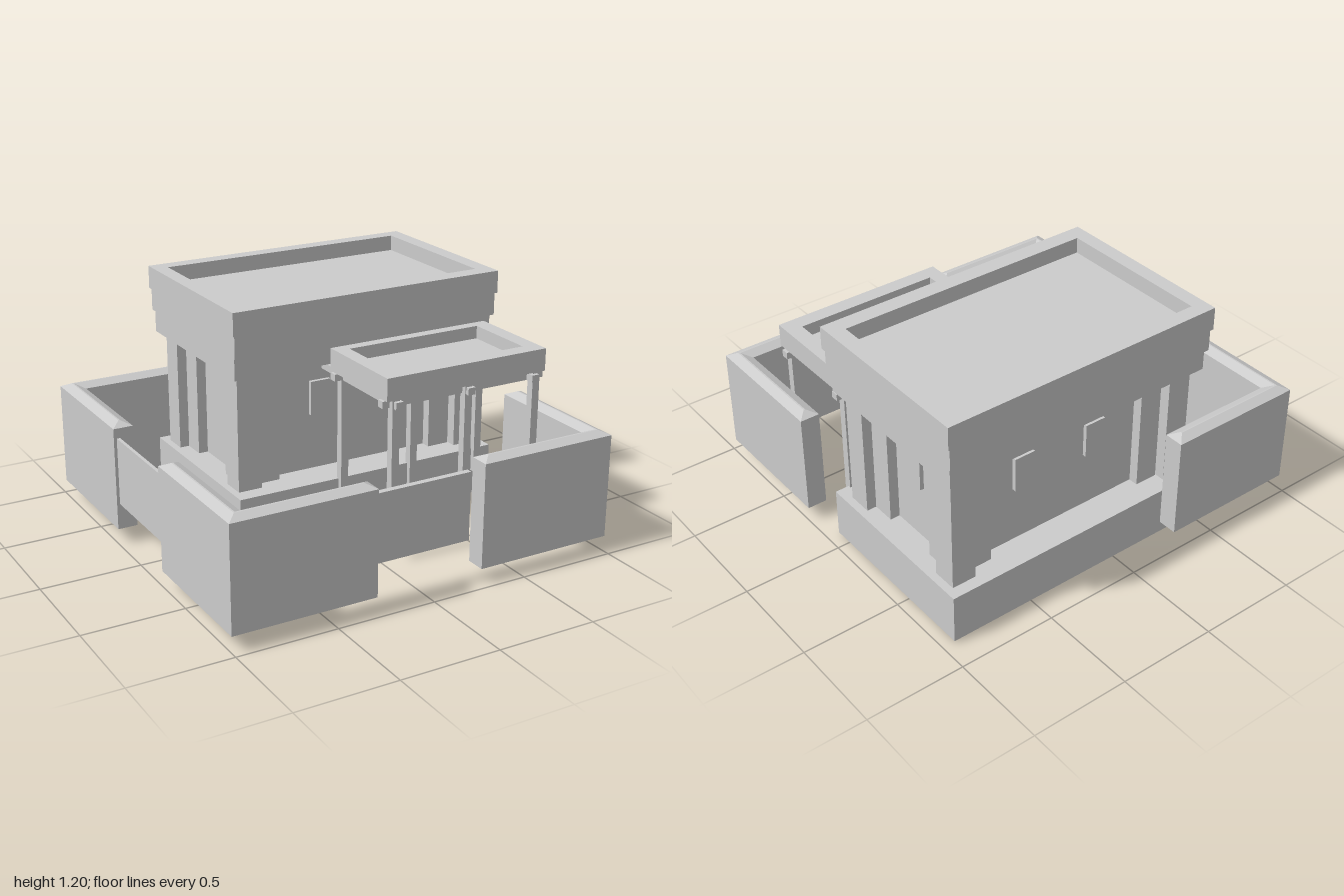
import * as THREE from 'three';

export function createModel() {
  const model = new THREE.Group();
  const mat = new THREE.MeshStandardMaterial({ color: 0xcccccc, flatShading: true });
  const openMat = mat.clone();
  openMat.side = THREE.DoubleSide;

  function add(name, geometry, material = mat) {
    const mesh = new THREE.Mesh(geometry, material);
    mesh.name = name;
    model.add(mesh);
    return mesh;
  }
  // Box given by its limits on each axis
  function box(name, x0, x1, y0, y1, z0, z1, material) {
    const mesh = add(name, new THREE.BoxGeometry(x1 - x0, y1 - y0, z1 - z0), material);
    mesh.position.set((x0 + x1) / 2, (y0 + y1) / 2, (z0 + z1) / 2);
    return mesh;
  }
  const rect = (Type, x0, x1, z0, z1) => new Type([
    [x0, -z1], [x1, -z1], [x1, -z0], [x0, -z0]].map(p => new THREE.Vector2(...p)));
  // Flat roof: floor slab with a raised parapet around it
  function trayRoof(name, o, i, y0, yFloor, y1) {
    const rim = rect(THREE.Shape, ...o);
    rim.holes.push(rect(THREE.Path, ...i));
    const geo = new THREE.ExtrudeGeometry(rim, { depth: y1 - y0, bevelEnabled: false });
    geo.rotateX(-Math.PI / 2).translate(0, y0, 0);
    add(name + 'Parapet', geo);
    box(name + 'Floor', i[0], i[1], y0, yFloor, i[2], i[3]);
  }

  // Plinth, hollow underneath
  const plinth = box('plinth', -0.51, 0.94, 0.01, 0.26, -0.86, 0.085, openMat);
  const idx = Array.from(plinth.geometry.index.array);
  idx.splice(18, 6);
  plinth.geometry.setIndex(idx);
  plinth.geometry.clearGroups();

  // Entrance steps
  box('lowerStep', -0.69, -0.60, 0, 0.085, -0.59, -0.20);
  box('upperStep', -0.60, -0.51, 0, 0.17, -0.59, -0.20);

  // Hall walls with stepped pilasters towards each corner
  const cx = 0.2125, cz = -0.4;
  box('hallWalls', -0.375, 0.80, 0.26, 0.86, -0.70, -0.10);
  for (const s of [-1, 1]) {
    const px = cx + s * 0.4975, pz = cz + s * 0.215;
    box('longSidePilaster', px - 0.06, px + 0.06, 0.26, 0.86, -0.75, -0.05);
    box('shortSidePilaster', -0.425, 0.85, 0.26, 0.86, pz - 0.06, pz + 0.06);
    for (const t of [-1, 1]) {
      const qx = cx + s * 0.625, qz = cz + t * 0.3375;
      box('cornerPillar', qx - 0.0625, qx + 0.0625, 0.26, 0.86, qz - 0.0625, qz + 0.0625);
    }
  }

  // Window panels
  for (const x of [0.025, 0.435]) {
    box('frontWindow', x - 0.055, x + 0.055, 0.55, 0.725, -0.11, -0.08);
    box('backWindow', x - 0.055, x + 0.055, 0.55, 0.725, -0.72, -0.69);
  }
  box('sideWindow', 0.79, 0.82, 0.55, 0.725, -0.455, -0.35);

  // Stepped cornice and main roof
  box('lowerCornice', -0.515, 0.93, 0.855, 0.966, -0.84, 0.06);
  box('upperCornice', -0.522, 0.942, 0.966, 1.08, -0.86, 0.08);
  trayRoof('mainRoof', [-0.53, 0.955, -0.87, 0.085], [-0.455, 0.875, -0.795, 0], 1.08, 1.115, 1.195);

  // Porch: roof, beams and posts
  trayRoof('porchRoof', [0, 0.895, 0.06, 0.575], [0.075, 0.815, 0.115, 0.495], 0.822, 0.87, 0.935);
  for (const z of [0.09, 0.525]) box('crossBeam', -0.005, 0.905, 0.78, 0.815, z - 0.02, z + 0.02);
  for (const x of [0.06, 0.46, 0.83]) box('longBeam', x - 0.02, x + 0.02, 0.78, 0.815, -0.22, 0.59);
  for (const x of [0.053, 0.455, 0.848])
    for (const z of [0.09, 0.55])
      box('porchPost', x - 0.02, x + 0.02, 0.14, 0.824, z - 0.02, z + 0.02);

  // L-shaped yard wall with a ridged coping, built from three outline rings
  function yardWall(sx, sz, zOut, zEnd) {
    const outline = d => {
      const o = 1 - d, i = 0.9 + d;
      return [[o, zOut - d], [0.28 + d, zOut - d], [0.28 + d, zOut - 0.1 + d],
        [i, zOut - 0.1 + d], [i, zEnd + d], [o, zEnd + d]];
    };
    const pos = [], index = [];
    for (const [d, y] of [[0, 0.08], [0, 0.6], [0.046, 0.622]])
      for (const [x, z] of outline(d)) pos.push(sx * x, y, sz * z);
    const quad = (a, b, c, d) => sx * sz > 0
      ? index.push(a, c, b, a, d, c) : index.push(a, b, c, a, c, d);
    for (let r = 0; r < 2; r++)
      for (let k = 0; k < 6; k++) {
        const n = (k + 1) % 6, a = r * 6;
        quad(a + k, a + 6 + k, a + 6 + n, a + n);
      }
    quad(12, 15, 14, 13);
    quad(12, 17, 16, 15);
    quad(0, 1, 2, 3);
    quad(0, 3, 4, 5);
    const geo = new THREE.BufferGeometry();
    geo.setAttribute('position', new THREE.Float32BufferAttribute(pos, 3));
    geo.setIndex(index);
    const flat = geo.toNonIndexed();
    flat.computeVertexNormals();
    add('yardWall', flat, openMat);
  }
  yardWall(1, 1, 0.965, 0.255);
  yardWall(-1, 1, 0.965, 0.255);
  yardWall(-1, -1, 0.97, 0.265);

  // Fence panels between the yard walls
  box('frontFence', -0.245, 0.245, 0.21, 0.55, 0.875, 0.905);
  box('sideFence', -0.985, -0.968, 0.21, 0.55, -0.265, 0.235);

  return model;
}
